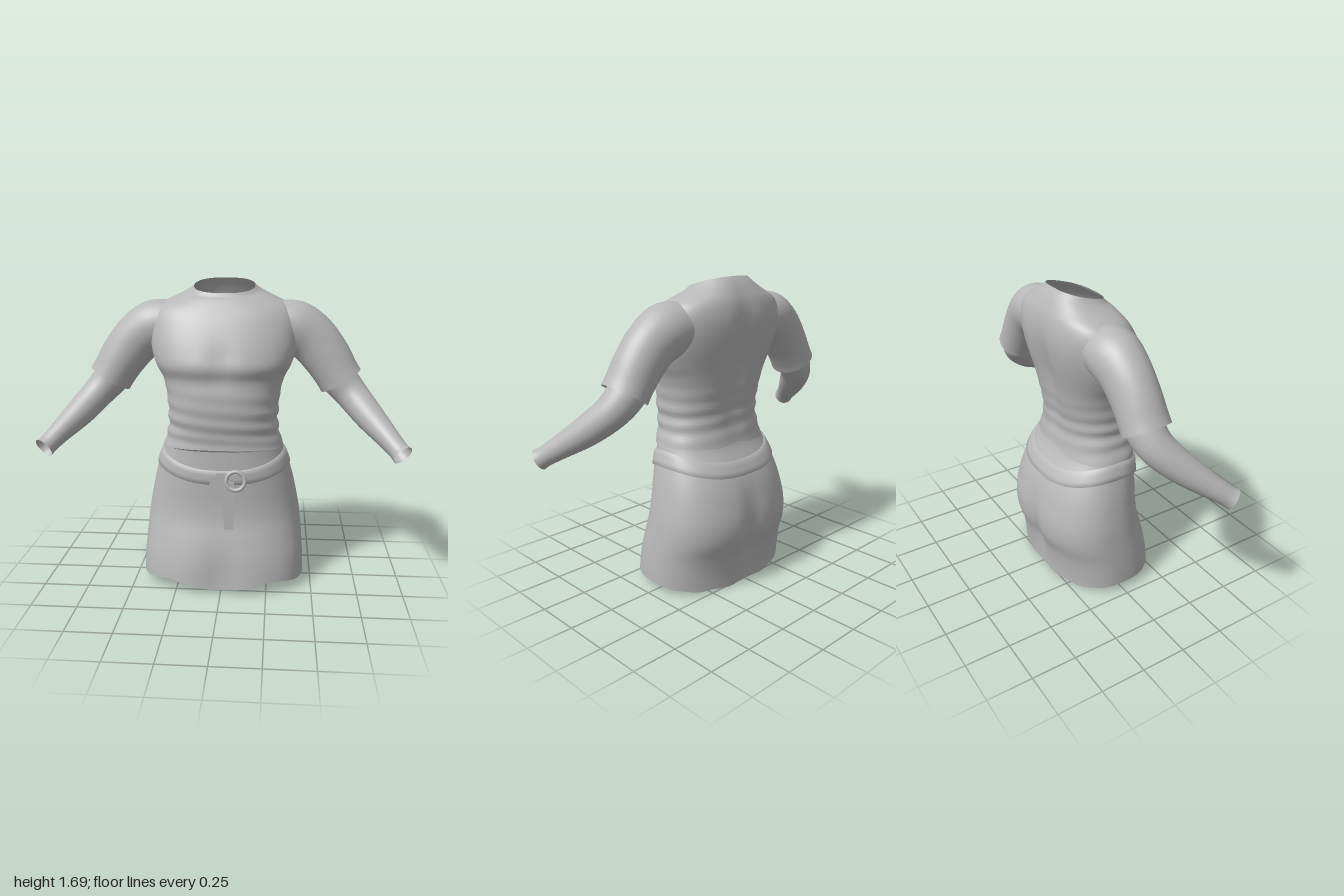
import * as THREE from 'three';

const cloth = new THREE.MeshStandardMaterial({ color: 0xb8b8b8, side: THREE.DoubleSide });
cloth.name = 'greyCloth';

const SEG = 72;
const bell = (x, c, w) => Math.exp(-(((x - c) / w) ** 2));

// Catmull-Rom refinement of a table of rows
function refine(rows, steps) {
  const out = [];
  const row = i => rows[Math.min(Math.max(i, 0), rows.length - 1)];
  for (let i = 0; i < rows.length - 1; i++) {
    for (let s = 0; s < steps; s++) {
      const t = s / steps;
      out.push(rows[0].map((_, k) => {
        const [a, b, c, d] = [row(i - 1)[k], row(i)[k], row(i + 1)[k], row(i + 2)[k]];
        return b + 0.5 * t * (c - a + t * (2 * a - 5 * b + 4 * c - d + t * (3 * (b - c) + d - a)));
      }));
    }
  }
  out.push(rows[rows.length - 1]);
  return out;
}

// Skin a list of closed rings of points
function loft(name, rings) {
  const n = rings[0].length, index = [];
  for (let i = 0; i < rings.length - 1; i++) {
    for (let j = 0; j < n; j++) {
      const a = i * n + j, b = i * n + (j + 1) % n;
      index.push(a, a + n, b + n, a, b + n, b);
    }
  }
  const geo = new THREE.BufferGeometry();
  geo.setAttribute('position', new THREE.Float32BufferAttribute(rings.flat(2), 3));
  geo.setIndex(index);
  geo.computeVertexNormals();
  return named(name, geo);
}

function named(name, geo) {
  const mesh = new THREE.Mesh(geo, cloth);
  mesh.name = name;
  return mesh;
}

const ring = (fn, n = SEG) => Array.from({ length: n }, (_, j) => fn((j / n) * Math.PI * 2));

// Rounded body section: half width, front z, back z
function section(a, w, zf, zb, power = 2.35) {
  const c = Math.cos(a), s = Math.sin(a), e = 2 / power;
  return [
    w * Math.sign(c) * Math.abs(c) ** e,
    (zf + zb) / 2 + ((zf - zb) / 2) * Math.sign(s) * Math.abs(s) ** e,
  ];
}

// Shirt rows: y, half width, front z, back z, tilt
const shirtRows = refine([
  [0.79, 0.335, 0.25, -0.19, -0.1], [0.85, 0.315, 0.25, -0.175, -0.05],
  [0.92, 0.3, 0.26, -0.165, 0], [1.0, 0.3, 0.27, -0.17, 0],
  [1.1, 0.31, 0.272, -0.19, 0], [1.18, 0.33, 0.266, -0.205, 0],
  [1.25, 0.365, 0.285, -0.22, 0], [1.33, 0.39, 0.262, -0.238, 0],
  [1.42, 0.4, 0.225, -0.252, 0], [1.5, 0.39, 0.185, -0.252, 0],
  [1.56, 0.35, 0.15, -0.238, 0.05], [1.605, 0.26, 0.12, -0.215, 0.1],
  [1.635, 0.195, 0.1, -0.19, 0.2], [1.658, 0.165, 0.09, -0.165, 0.27],
], 5);

function shirtPoint([y, w, zf, zb, tilt], a) {
  // soft waist wrinkles
  const crease = 0.006 * bell(y, 0.95, 0.13) * Math.sin(y * 75 + 2 * Math.cos(a));
  let [x, z] = section(a, w + crease, zf + crease * 0.5, zb - crease * 0.5);
  const py = y - tilt * (z - (zf + zb) / 2);
  if (z < 0) z += 0.032 * bell(x, 0, 0.06) * bell(y, 1.25, 0.28);  // spine groove
  else z -= 0.014 * bell(x, 0, 0.06) * bell(y, 1.27, 0.1);         // chest hollow
  return [x, py, z];
}

// Skirt rows: y, half width, front z, back z
const skirtRows = refine([
  [0, 0.455, 0.325, -0.268], [0.1, 0.455, 0.317, -0.275], [0.2, 0.45, 0.302, -0.292],
  [0.3, 0.441, 0.278, -0.325], [0.4, 0.43, 0.25, -0.33], [0.5, 0.412, 0.24, -0.312],
  [0.6, 0.39, 0.24, -0.282], [0.7, 0.362, 0.24, -0.235], [0.8, 0.328, 0.238, -0.18],
], 5);

function skirtPoint(y, a, grow = 0) {
  const f = THREE.MathUtils.clamp(y / 0.8, 0, 0.9999) * (skirtRows.length - 1);
  const i = Math.floor(f);
  const [, w, zf, zb] = skirtRows[i].map((v, k) => THREE.MathUtils.lerp(v, skirtRows[i + 1][k], f - i));
  let [x, z] = section(a, w + grow, zf + grow, zb - grow);
  if (z < 0) z += 0.03 * bell(x, 0, 0.06) * bell(y, 0.3, 0.22);   // rear fold
  else z -= 0.03 * bell(x, 0, 0.1) * bell(y, 0.05, 0.2);          // front fold
  return [x, y, z];
}

function hem(a) {
  const s = Math.sin(a);
  return s > 0
    ? 0.052 + 0.022 * bell(s, 0.8, 0.2) - 0.035 * bell(Math.cos(a), 0, 0.3)
    : 0.052 + 0.045 * s + 0.005 * Math.sin(a * 13) * s;
}

// Arm tube: rows of centre x, y, z, radius in the arm plane, radius in depth
function arm(name, side, rows) {
  const fine = refine(rows, 6);
  const centres = fine.map(r => new THREE.Vector3(r[0] * side, r[1], r[2]));
  return loft(name, fine.map((r, i) => {
    const d = centres[Math.min(i + 1, fine.length - 1)].clone()
      .sub(centres[Math.max(i - 1, 0)]).normalize();
    const depth = new THREE.Vector3(0, 0, 1).addScaledVector(d, -d.z).normalize();
    const across = d.clone().cross(depth);
    return ring(a => centres[i].clone()
      .addScaledVector(across, r[3] * Math.cos(a))
      .addScaledVector(depth, r[4] * Math.sin(a)).toArray(), 40);
  }));
}

// Thin plate hanging on the skirt front
function plate(name, points, z) {
  const shape = new THREE.Shape(points.map(p => new THREE.Vector2(...p)));
  const mesh = named(name, new THREE.ExtrudeGeometry(shape, { depth: 0.009, bevelEnabled: false }));
  mesh.position.z = z;
  return mesh;
}

export function createModel() {
  const model = new THREE.Group();
  model.name = 'beltedTunic';

  // Shirt and skirt
  model.add(loft('shirt', shirtRows.map(r => ring(a => shirtPoint(r, a)))));
  const rows = 36;
  model.add(loft('skirt', Array.from({ length: rows + 1 }, (_, i) =>
    ring(a => skirtPoint(THREE.MathUtils.lerp(hem(a), 0.8, i / rows), a)))));

  // Belt dips at front and back; edges fold in to the skirt
  const beltY = (a, t) => {
    const s = Math.sin(a), dip = (s > 0 ? 0.08 : 0.06) * s * s;
    return 0.7 - dip + 0.078 * t;
  };
  model.add(loft('belt', [[0, -0.004], [0, 0.01], [0.33, 0.011], [0.67, 0.011], [1, 0.01], [1, -0.004]]
    .map(([t, grow]) => ring(a => skirtPoint(beltY(a, t), a, grow)))));

  // Ring buckle and strap ends
  const buckle = named('buckleRing', new THREE.TorusGeometry(0.05, 0.011, 12, 40));
  buckle.position.set(0.08, 0.65, 0.263);
  buckle.rotation.x = -0.15;
  model.add(buckle);
  model.add(plate('strapTail', [[0.005, 0.6], [0.02, 0.36], [0.066, 0.36], [0.085, 0.6], [0.07, 0.64], [0.02, 0.64]], 0.246));
  model.add(plate('strapFlap', [[-0.07, 0.605], [-0.01, 0.595], [0.04, 0.62], [0.05, 0.69], [-0.02, 0.69], [-0.05, 0.66]], 0.25));

  // Short sleeves over long under-sleeves
  for (const [label, side] of [['left', 1], ['right', -1]]) {
    model.add(arm(label + 'Sleeve', side, [
      [0.28, 1.455, -0.045, 0.125, 0.14], [0.38, 1.435, -0.045, 0.145, 0.14],
      [0.475, 1.375, -0.042, 0.138, 0.128], [0.555, 1.28, -0.036, 0.13, 0.124],
      [0.61, 1.195, -0.032, 0.122, 0.125], [0.638, 1.15, -0.03, 0.122, 0.128],
    ]));
    model.add(arm(label + 'UnderSleeve', side, [
      [0.57, 1.235, -0.035, 0.1, 0.1], [0.635, 1.15, -0.035, 0.098, 0.1],
      [0.705, 1.07, -0.005, 0.088, 0.092], [0.79, 0.975, 0.085, 0.078, 0.08],
      [0.88, 0.885, 0.195, 0.06, 0.062], [0.925, 0.838, 0.255, 0.053, 0.054],
      [0.945, 0.818, 0.282, 0.057, 0.057],
    ]));
  }
  return model;
}
